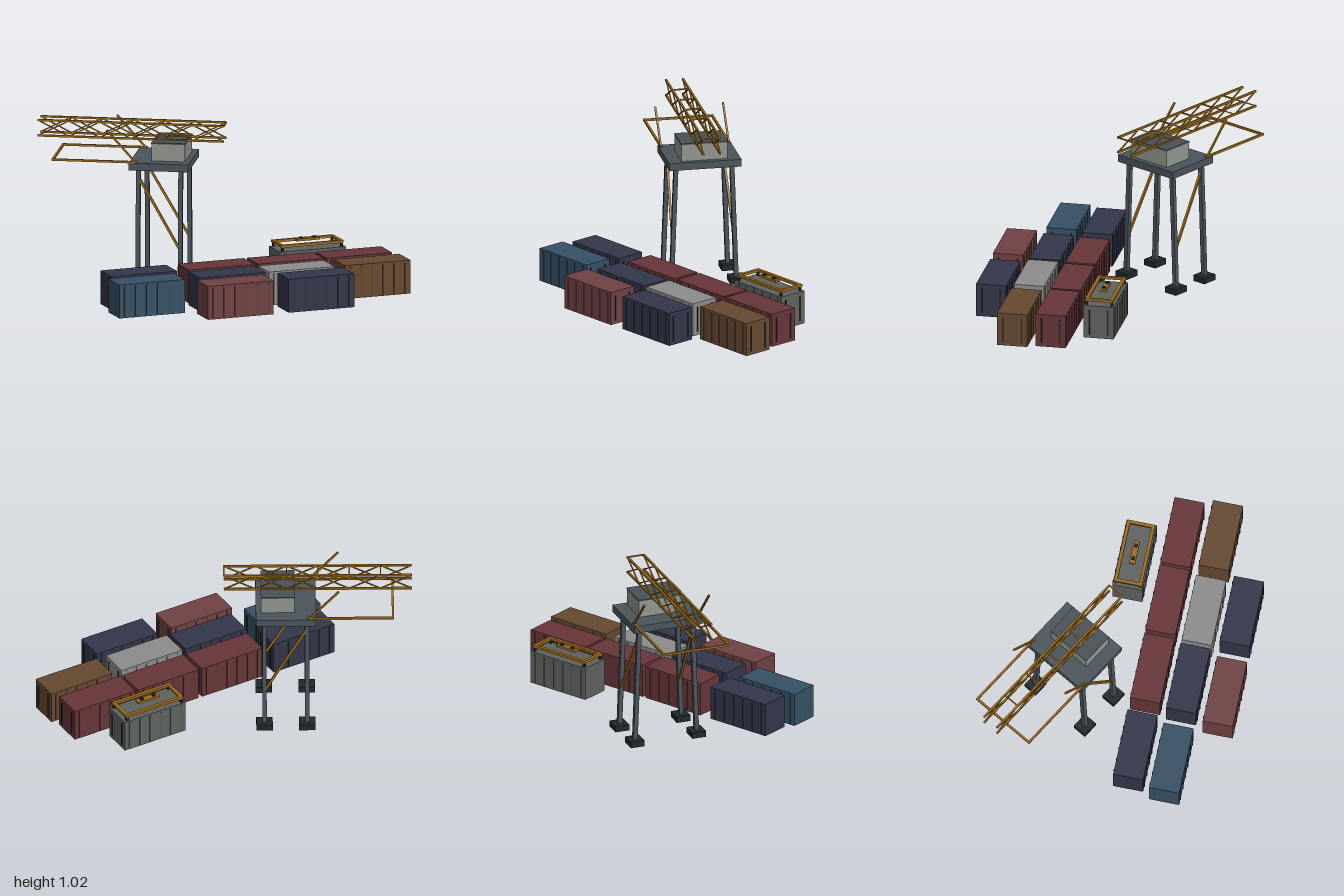
import * as THREE from 'three';

const mat = (color) => new THREE.MeshStandardMaterial({ color });
const steel = mat(0x4a555c), dark = mat(0x20282b), yellow = mat(0xa06e1a);
const wall = mat(0x92968f), roofMat = mat(0x4a5257);

function box(parent, name, size, pos, material) {
  const m = new THREE.Mesh(new THREE.BoxGeometry(...size), material);
  m.name = name;
  m.position.set(...pos);
  parent.add(m);
  return m;
}

// Square bar running between two points
function bar(parent, name, a, b, t, material) {
  const p = new THREE.Vector3(...a), q = new THREE.Vector3(...b);
  const m = new THREE.Mesh(new THREE.BoxGeometry(t, t, p.distanceTo(q)), material);
  m.name = name;
  m.position.copy(p).add(q).multiplyScalar(0.5);
  m.lookAt(q);
  parent.add(m);
  return m;
}

function container(name, color, x, z) {
  const g = new THREE.Group();
  g.name = name;
  g.position.set(x, 0, z);
  const L = 0.428, H = 0.208, W = 0.186;
  const body = mat(color);
  const rib = mat(new THREE.Color(color).multiplyScalar(0.85));
  box(g, 'containerBody', [L, H, W], [0, H / 2 + 0.002, 0], body);
  // Side ribs
  for (const s of [-1, 1])
    for (let i = 0; i < 6; i++)
      box(g, 'sideRib', [0.008, H - 0.02, 0.008], [-0.18 + i * 0.072, H / 2, s * W / 2], rib);
  // Door bars on the end
  for (const s of [-1, 1])
    box(g, 'doorBar', [0.01, H - 0.05, 0.008], [L / 2, H / 2, s * 0.058], dark);
  return g;
}

function spreader() {
  const g = new THREE.Group();
  g.name = 'spreader';
  g.position.set(0.547, 0, -0.055);
  for (const s of [-1, 1]) {
    box(g, 'longBeam', [0.404, 0.016, 0.02], [0, 0.242, s * 0.077], yellow);
    box(g, 'endBeam', [0.02, 0.016, 0.174], [s * 0.192, 0.242, 0], yellow);
    for (const e of [-1, 1])
      box(g, 'cornerLock', [0.014, 0.026, 0.014], [s * 0.192, 0.222, e * 0.077], dark);
    box(g, 'hookLug', [0.02, 0.012, 0.018], [s * 0.042, 0.267, 0], dark);
  }
  box(g, 'headBlock', [0.15, 0.014, 0.036], [0, 0.257, 0], yellow);
  return g;
}

function crane() {
  const g = new THREE.Group();
  g.name = 'crane';
  g.position.set(-0.3125, 0, -0.2475);
  g.rotation.y = -Math.PI / 6;

  // Legs, feet and braces
  for (const sz of [-1, 1]) {
    for (const sx of [-1, 1]) {
      bar(g, 'leg', [sx * 0.13, 0.03, sz * 0.2], [sx * 0.13, 0.76, sz * 0.173], 0.027, steel);
      box(g, 'foot', [0.1, 0.038, 0.09], [sx * 0.13, 0.021, sz * 0.2], dark);
    }
    bar(g, 'legBrace', [-0.13, 0.71, sz * 0.175], [0.13, 0.26, sz * 0.192], 0.014, yellow);
  }

  // Platform and machinery house
  box(g, 'platform', [0.365, 0.046, 0.447], [0, 0.779, 0], steel);
  box(g, 'machineHouse', [0.204, 0.108, 0.286], [0.048, 0.855, 0], wall);
  box(g, 'houseRoof', [0.208, 0.008, 0.29], [0.048, 0.911, 0], roofMat);

  // Lattice boom
  const x0 = -0.766, x1 = 0.375, lo = 0.916, hi = 1.012, hw = 0.052, n = 6;
  const step = (x1 - x0) / n;
  const boom = new THREE.Group();
  boom.name = 'boom';
  for (const s of [-1, 1]) {
    const z = s * hw;
    for (const y of [lo, hi]) bar(boom, 'boomChord', [x0, y, z], [x1, y, z], 0.012, yellow);
    for (let i = 0; i < n; i++) {
      const a = x0 + i * step, b = a + step;
      bar(boom, 'boomLacing', [a, lo, z], [b, hi, z], 0.007, yellow);
      bar(boom, 'boomLacing', [a, hi, z], [b, lo, z], 0.007, yellow);
    }
  }
  for (const i of [1, 2, 3, 4, 6])
    bar(boom, 'boomRung', [x0 + i * step, hi, -hw], [x0 + i * step, hi, hw], 0.008, yellow);
  g.add(boom);

  // Outrigger frame and its stays
  for (const s of [-1, 1]) {
    bar(g, 'frameRail', [-0.65, 0.805, s * 0.21], [-0.13, 0.805, s * 0.21], 0.013, yellow);
    bar(g, 'frameStay', [-0.14, 0.8, s * 0.21], [-0.32, 1.0, s * 0.21], 0.011, yellow);
  }
  bar(g, 'frameEnd', [-0.65, 0.805, -0.216], [-0.65, 0.805, 0.216], 0.013, yellow);
  return g;
}

export function createModel() {
  const root = new THREE.Group();
  root.name = 'containerYard';
  const red = 0x673639, navy = 0x34364a, blue = 0x365165, brown = 0x664930;
  const yard = [
    ['navyContainer', navy, -0.651, 0.2], ['redContainer', red, -0.145, 0.2],
    ['redContainer', red, 0.305, 0.2], ['redContainer', red, 0.75, 0.2],
    ['blueContainer', blue, -0.69, 0.432], ['navyContainer', navy, -0.165, 0.427],
    ['greyContainer', 0x8c8c8c, 0.285, 0.43], ['brownContainer', brown, 0.778, 0.432],
    ['redContainer', 0x704244, -0.203, 0.662], ['navyContainer', navy, 0.325, 0.657],
    ['liftedContainer', 0x5f6360, 0.547, -0.055],
  ];
  for (const c of yard) root.add(container(...c));
  root.add(spreader(), crane());
  return root;
}
